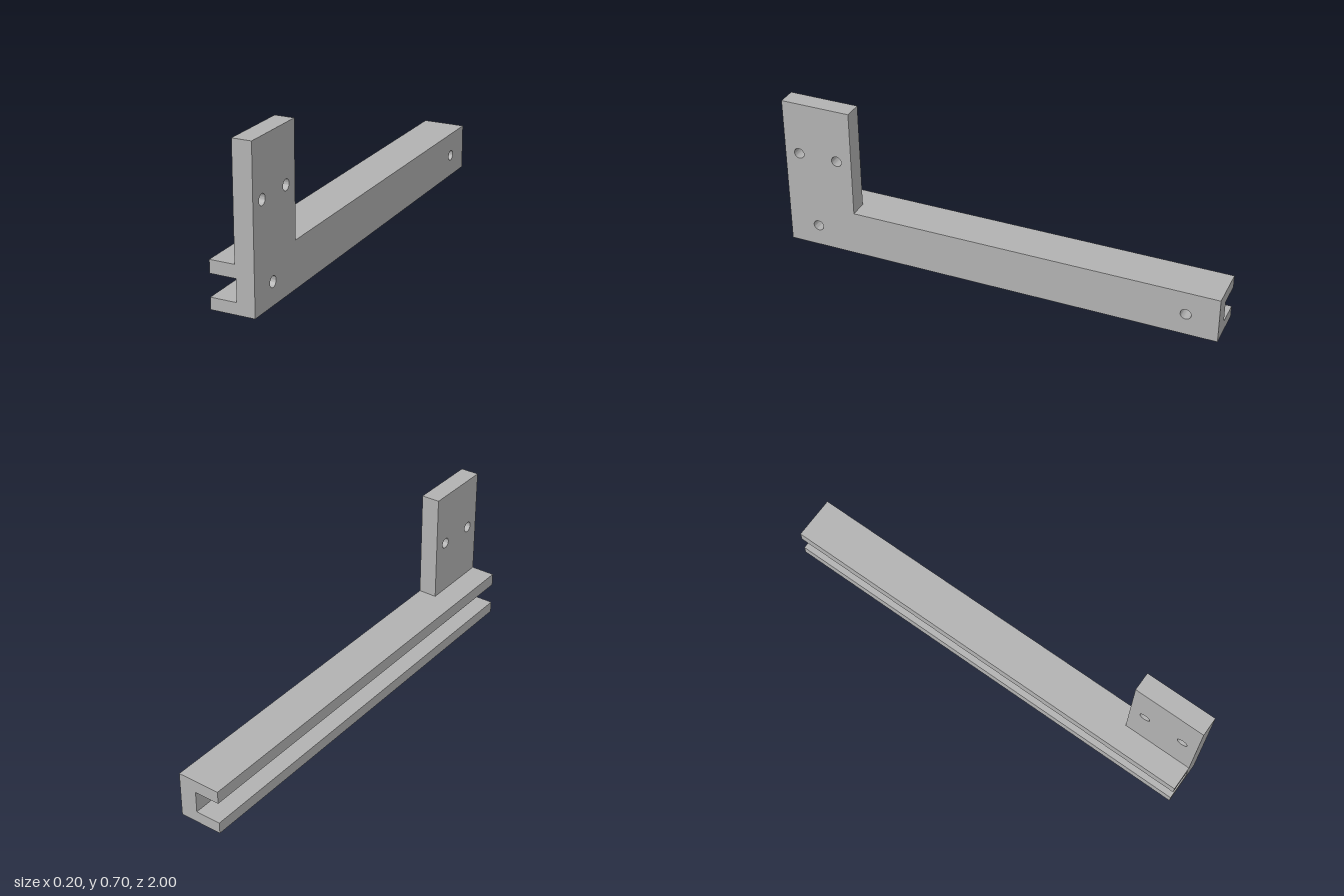
import * as THREE from 'three';
import { toCreasedNormals } from 'three/addons/utils/BufferGeometryUtils.js';

const RIGHT = 0.098, LEFT = -0.098;   // outer faces along x
const WEB_X = 0.018, PLATE_X = 0.013; // inner faces of web and plate
const RAIL_TOP = 0.207, HOLE_R = 0.024;

// Rectangular slab in the z-y plane, drilled through along x
function drilledSlab(name, material, z0, z1, y0, y1, x0, holes) {
  const shape = new THREE.Shape();
  shape.moveTo(-z1, y0);
  shape.lineTo(-z0, y0);
  shape.lineTo(-z0, y1);
  shape.lineTo(-z1, y1);
  shape.closePath();
  for (const [z, y] of holes) {
    shape.holes.push(new THREE.Path().absarc(-z, y, HOLE_R, 0, Math.PI * 2, true));
  }
  const extruded = new THREE.ExtrudeGeometry(shape, {
    depth: RIGHT - x0, bevelEnabled: false, curveSegments: 16,
  });
  const geometry = toCreasedNormals(extruded, Math.PI / 5);
  geometry.rotateY(Math.PI / 2).translate(x0, 0, 0);
  const mesh = new THREE.Mesh(geometry, material);
  mesh.name = name;
  return mesh;
}

// Long flange reaching from the web to the open side of the channel
function flange(name, material, y0, y1) {
  const geometry = new THREE.BoxGeometry(WEB_X - LEFT, y1 - y0, 2);
  const mesh = new THREE.Mesh(geometry, material);
  mesh.position.set((WEB_X + LEFT) / 2, (y0 + y1) / 2, 0);
  mesh.name = name;
  return mesh;
}

export function createModel() {
  const grey = new THREE.MeshStandardMaterial({ color: 0xb2b2b2 });
  grey.name = 'grey';

  const bracket = new THREE.Group();
  bracket.name = 'channelBracket';
  bracket.add(
    // Channel rail with a slot open to the left-hand side of the front view
    drilledSlab('railWeb', grey, -1, 1, 0, RAIL_TOP, WEB_X, [[0.86, 0.1], [-0.857, 0.1]]),
    flange('lowerFlange', grey, 0, 0.052),
    flange('upperFlange', grey, 0.15, RAIL_TOP),
    // Upright mounting plate at the front end
    drilledSlab('mountingPlate', grey, 0.677, 1, RAIL_TOP, 0.705, PLATE_X, [[0.932, 0.457], [0.748, 0.457]]),
  );
  return bracket;
}
